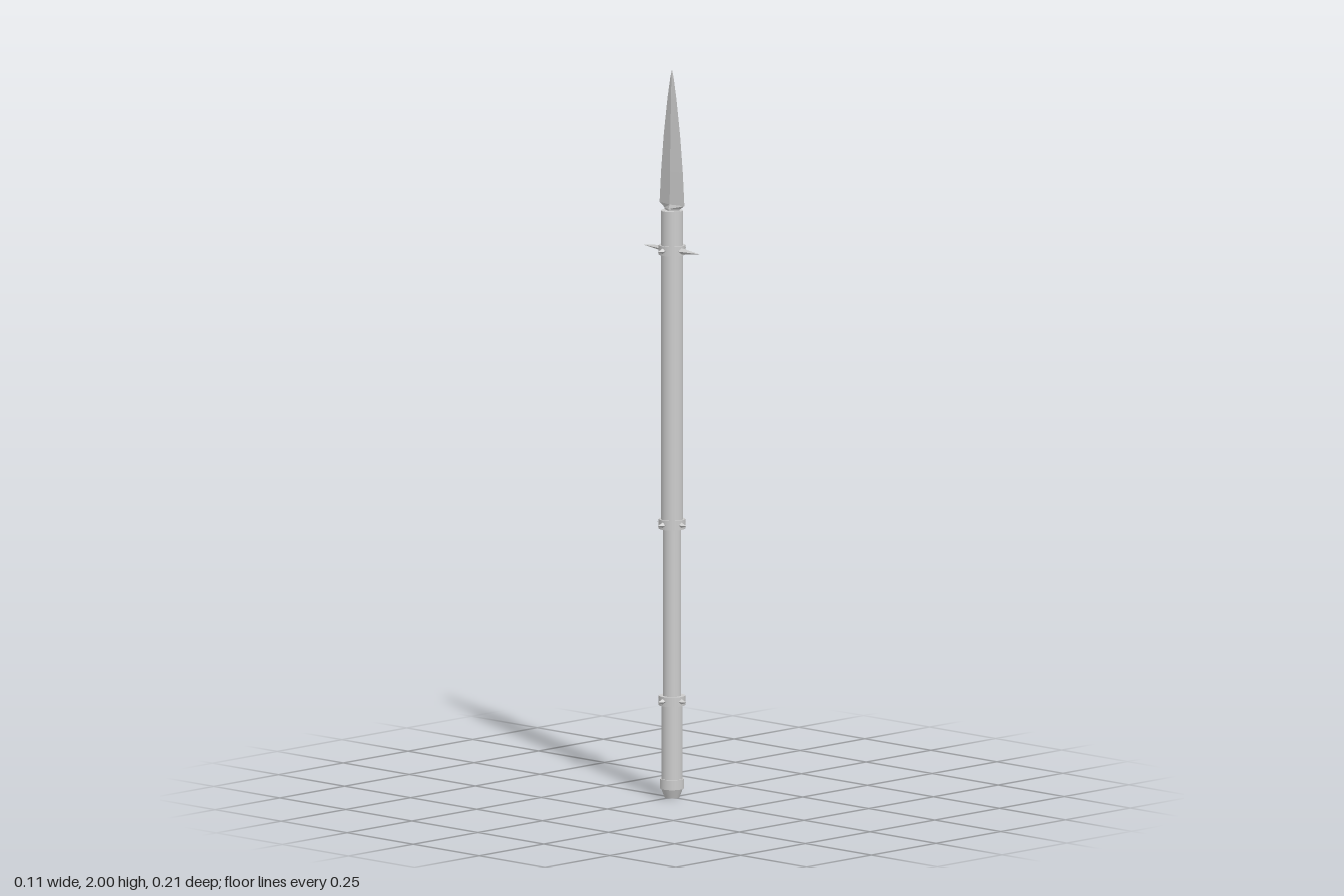
import * as THREE from 'three';

const grey = new THREE.MeshStandardMaterial({ color: 0xcccccc });
const flatGrey = new THREE.MeshStandardMaterial({ color: 0xcccccc, flatShading: true });

// Round section standing between two heights
function section(name, y0, y1, r0, r1 = r0) {
  const mesh = new THREE.Mesh(new THREE.CylinderGeometry(r1, r0, y1 - y0, 24), grey);
  mesh.position.y = (y0 + y1) / 2;
  mesh.name = name;
  return mesh;
}

// Four-sided spike pointing outward, wide in the ring plane and thin in height
function spike(angle, reach, halfWidth, halfHeight) {
  const inner = 0.032;
  const geo = new THREE.ConeGeometry(1, 1, 4);
  geo.translate(0, 0.5, 0);
  geo.rotateX(Math.PI / 2);
  geo.scale(halfWidth, halfHeight, reach - inner);
  geo.translate(0, 0, inner);
  const mesh = new THREE.Mesh(geo, flatGrey);
  mesh.rotation.y = angle;
  mesh.name = 'spike';
  return mesh;
}

// Collar ring with four spikes; the front and back ones may be longer
function spikedRing(name, y, frontReach) {
  const ring = new THREE.Group();
  ring.name = name;
  ring.add(section('collar', -0.013, 0.013, 0.036));
  for (let i = 0; i < 4; i++) {
    const side = i % 2 === 1;
    ring.add(spike(i * Math.PI / 2, side ? 0.055 : frontReach, 0.011, 0.009));
  }
  ring.position.y = y;
  return ring;
}

// Blade lofted through diamond cross-sections: [height, half thickness x, half width z]
function blade() {
  const rows = [
    [1.6, 0.014, 0.026], [1.618, 0.014, 0.028], [1.63, 0.009, 0.047],
    [1.72, 0.008, 0.041], [1.82, 0.006, 0.031], [1.92, 0.004, 0.017],
    [1.98, 0.002, 0.006], [2, 0, 0],
  ];
  const pos = [];
  const index = [];
  rows.forEach(([y, x, z], r) => {
    pos.push(x, y, 0, 0, y, -z, -x, y, 0, 0, y, z);
    if (r === 0) return;
    for (let i = 0; i < 4; i++) {
      const a = (r - 1) * 4 + i, b = (r - 1) * 4 + (i + 1) % 4;
      index.push(a, b, b + 4);
      if (r < rows.length - 1) index.push(a, b + 4, a + 4);
    }
  });
  const geo = new THREE.BufferGeometry();
  geo.setAttribute('position', new THREE.Float32BufferAttribute(pos, 3));
  geo.setIndex(index);
  geo.computeVertexNormals();
  const mesh = new THREE.Mesh(geo, flatGrey);
  mesh.name = 'blade';
  return mesh;
}

export function createModel() {
  const spear = new THREE.Group();
  spear.name = 'spear';

  // Butt cap
  spear.add(section('buttTip', 0, 0.025, 0.02, 0.03));
  spear.add(section('buttCap', 0.025, 0.052, 0.033));

  // Shaft, slimmer along the grip
  spear.add(section('buttSleeve', 0.052, 0.255, 0.029));
  spear.add(section('grip', 0.255, 0.75, 0.025));
  spear.add(section('upperShaft', 0.75, 1.613, 0.03));

  // Spiked rings
  spear.add(spikedRing('lowerRing', 0.267, 0.055));
  spear.add(spikedRing('middleRing', 0.752, 0.055));
  spear.add(spikedRing('upperRing', 1.505, 0.107));

  spear.add(blade());
  return spear;
}
